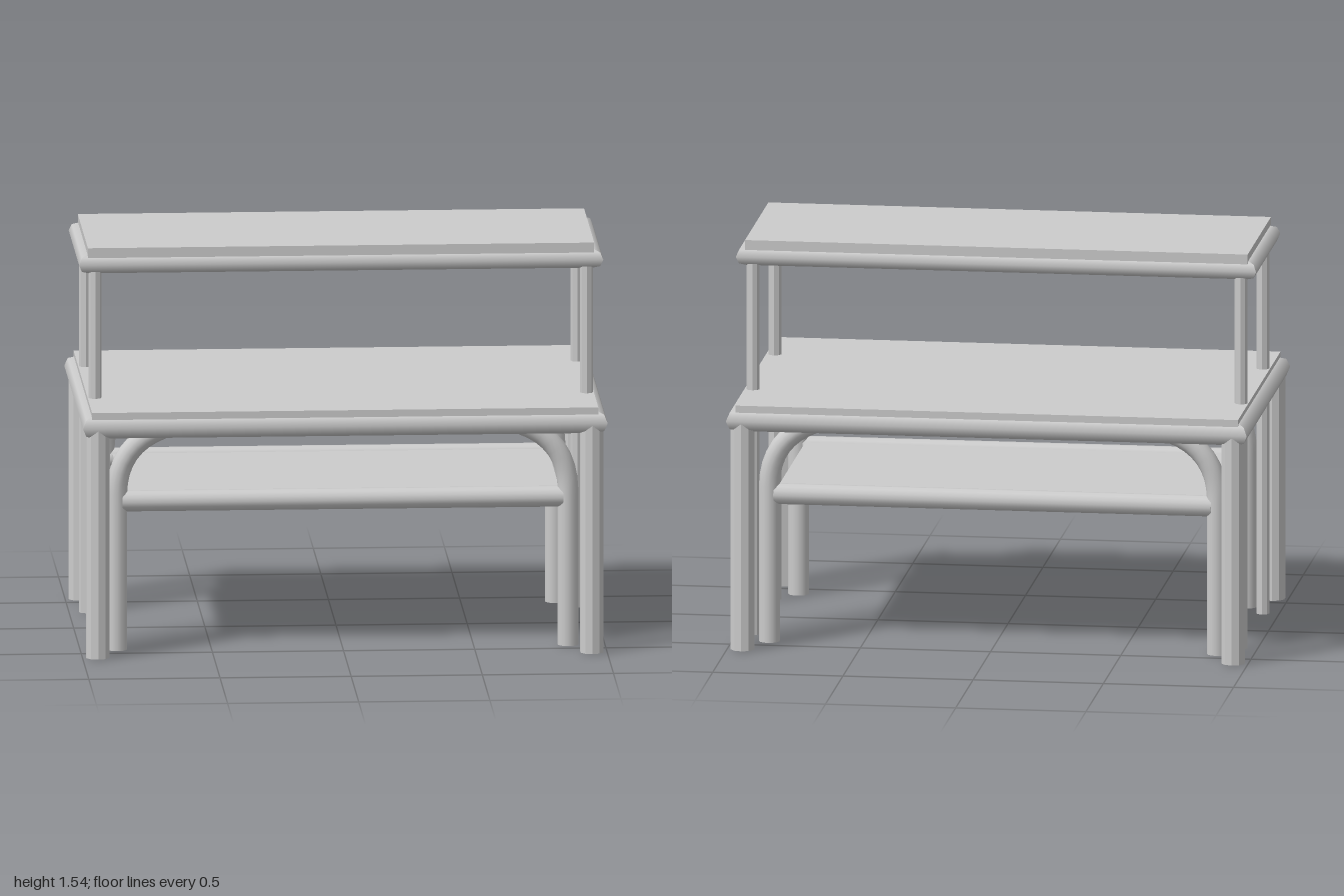
import * as THREE from 'three';

export function createModel() {
  const model = new THREE.Group();
  const smooth = new THREE.MeshStandardMaterial({ color: 0xcccccc });
  const faceted = new THREE.MeshStandardMaterial({ color: 0xcccccc, flatShading: true });

  function add(name, geometry, material, x = 0, y = 0, z = 0, parent = model) {
    const mesh = new THREE.Mesh(geometry, material);
    mesh.name = name;
    mesh.position.set(x, y, z);
    parent.add(mesh);
    return mesh;
  }

  // Tube along x whose ends are cut at 45 degrees, longer on its +z side
  function mitredRail(halfLength, radius) {
    const g = new THREE.CylinderGeometry(radius, radius, 2 * halfLength, 8, 1, true);
    g.rotateZ(Math.PI / 2);
    const p = g.attributes.position;
    for (let i = 0; i < p.count; i++) p.setX(i, p.getX(i) + Math.sign(p.getX(i)) * p.getZ(i));
    return g;
  }

  // Rectangular tube frame with a board laid into it
  function tableTop(name, y, halfX, halfZ, radius, boardZ, boardTop) {
    const group = new THREE.Group();
    group.name = name;
    model.add(group);
    for (const s of [1, -1]) {
      const long = add('longRail', mitredRail(halfX, radius), smooth, 0, y, s * halfZ, group);
      long.rotation.y = s > 0 ? 0 : Math.PI;
      const short = add('shortRail', mitredRail(halfZ, radius), smooth, s * halfX, y, 0, group);
      short.rotation.y = s * Math.PI / 2;
    }
    const h = boardTop - y;
    add('board', new THREE.BoxGeometry(1.93, h, 2 * boardZ), faceted, 0, y + h / 2, 0, group);
  }
  tableTop('mainTop', 0.895, 0.955, 0.58, 0.045, 0.61, 0.955);
  tableTop('upperShelf', 1.475, 0.962, 0.31, 0.037, 0.335, 1.54);

  // Corner legs and the slim posts that carry the upper shelf
  for (const sx of [1, -1]) for (const sz of [1, -1]) {
    const leg = new THREE.CylinderGeometry(0.046, 0.046, 0.89, 10);
    add('cornerLeg', leg, faceted, sx * 0.942, 0.445, sz * 0.575);
    const post = new THREE.CylinderGeometry(0.025, 0.025, 1.47, 8);
    add('shelfPost', post, faceted, sx * 0.937, 0.735, sz * 0.31);
  }

  // Bent tube arches and the rails of the low shelf
  const v = (x, y) => new THREE.Vector3(x, y, 0);
  const bend = new THREE.CurvePath();
  bend.add(new THREE.LineCurve3(v(-0.86, 0), v(-0.86, 0.6)));
  bend.add(new THREE.QuadraticBezierCurve3(v(-0.86, 0.6), v(-0.86, 0.89), v(-0.45, 0.89)));
  bend.add(new THREE.LineCurve3(v(-0.45, 0.89), v(0.45, 0.89)));
  bend.add(new THREE.QuadraticBezierCurve3(v(0.45, 0.89), v(0.86, 0.89), v(0.86, 0.6)));
  bend.add(new THREE.LineCurve3(v(0.86, 0.6), v(0.86, 0)));
  for (const s of [1, -1]) {
    add('archTube', new THREE.TubeGeometry(bend, 80, 0.04, 14), smooth, 0, 0, s * 0.42);
    for (const e of [1, -1]) {
      const foot = add('archFoot', new THREE.CircleGeometry(0.04, 14), smooth, e * 0.86, 0, s * 0.42);
      foot.rotation.x = Math.PI / 2;
    }
    const rail = new THREE.CylinderGeometry(0.04, 0.04, 1.68, 14).rotateZ(Math.PI / 2);
    add('lowShelfRail', rail, smooth, 0, 0.575, s * 0.42);
  }
  add('lowShelfBoard', new THREE.BoxGeometry(1.66, 0.03, 0.84), faceted, 0, 0.583, 0);

  return model;
}
